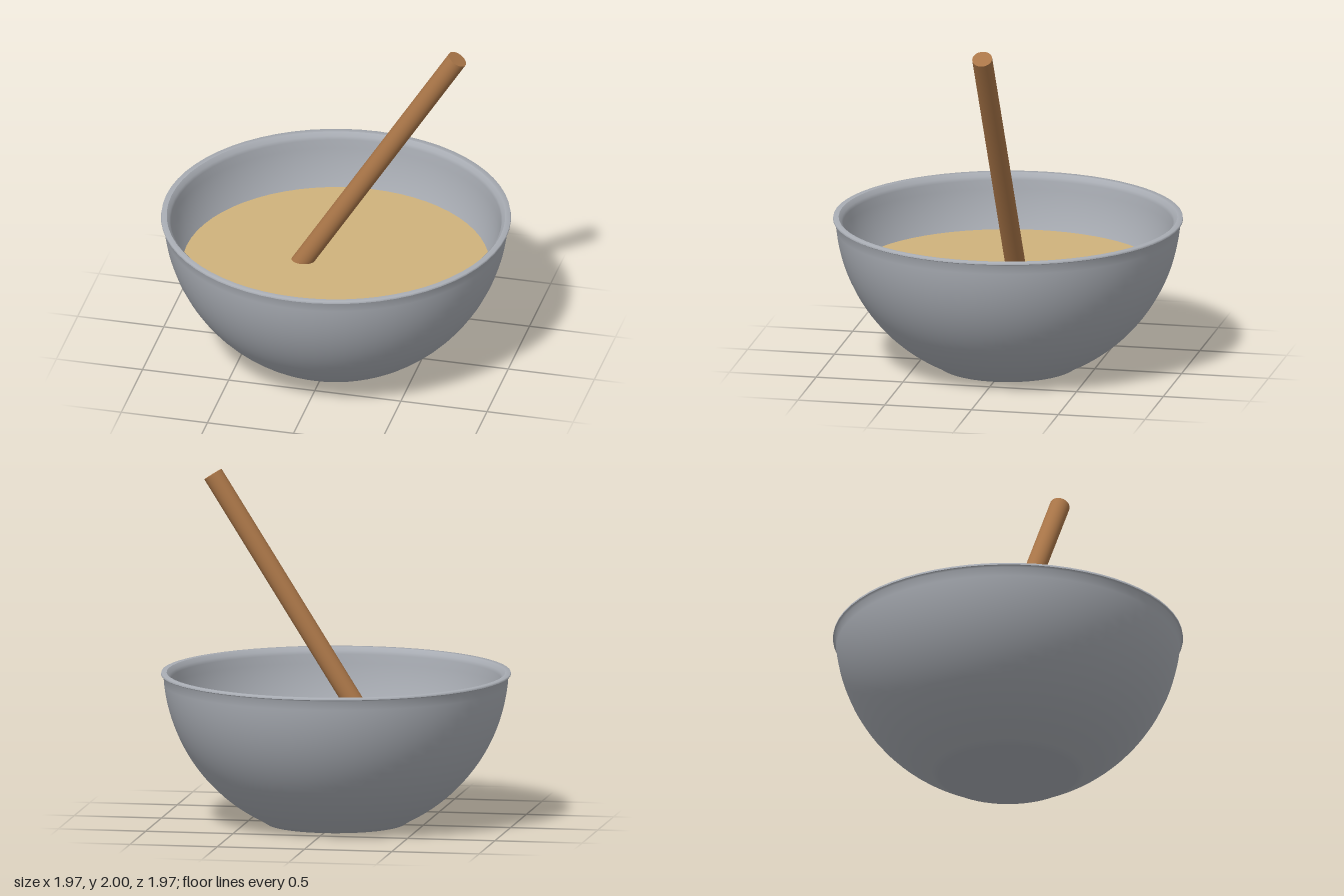
import * as THREE from 'three';

const V = (x, y) => new THREE.Vector2(x, y);

// Points on a spherical wall, from height y0 to y1
function arc(radius, centreY, y0, y1, steps) {
  const a0 = Math.asin((y0 - centreY) / radius);
  const a1 = Math.asin((y1 - centreY) / radius);
  return Array.from({ length: steps + 1 }, (_, i) => {
    const a = a0 + ((a1 - a0) * i) / steps;
    return V(radius * Math.cos(a), centreY + radius * Math.sin(a));
  });
}

export function createModel() {
  const model = new THREE.Group();
  const metal = new THREE.MeshStandardMaterial({ color: 0xa9adb4 });
  const batter = new THREE.MeshStandardMaterial({ color: 0xcfb27c });
  const wood = new THREE.MeshStandardMaterial({ color: 0xaa7648 });

  const add = (name, geometry, material, parent = model) => {
    const mesh = new THREE.Mesh(geometry, material);
    mesh.name = name;
    parent.add(mesh);
    return mesh;
  };

  // Bowl: outer wall with flat foot, rolled lip, and inner wall
  const bowl = new THREE.Group();
  bowl.name = 'bowl';
  model.add(bowl);
  const lathe = (name, points) => add(name, new THREE.LatheGeometry(points, 64), metal, bowl);
  lathe('bowlOuterWall', [V(0, 0), V(0.39, 0), ...arc(0.975, 0.9, 0.025, 0.84, 20), V(0.987, 0.848)]);
  lathe('bowlRim', [V(0.987, 0.848), V(0.985, 0.86), V(0.955, 0.86)]);
  lathe('bowlInnerWall', [V(0.955, 0.86), V(0.937, 0.84), ...arc(0.935, 0.9, 0.04, 0.82, 20).reverse(), V(0, 0.04)]);

  // Level surface of the contents
  const surface = add('batterSurface', new THREE.CircleGeometry(0.866, 64), batter);
  surface.rotation.x = -Math.PI / 2;
  surface.position.y = 0.55;

  // Leaning stirring handle, its lower end sunk in the batter
  const top = new THREE.Vector3(0.705, 1.97, 0);
  const bottom = new THREE.Vector3(-0.265, 0.43, 0);
  const axis = top.clone().sub(bottom);
  const handle = add('spoonHandle', new THREE.CylinderGeometry(0.057, 0.057, axis.length(), 32), wood);
  handle.position.copy(top).add(bottom).multiplyScalar(0.5);
  handle.quaternion.setFromUnitVectors(new THREE.Vector3(0, 1, 0), axis.normalize());

  return model;
}
